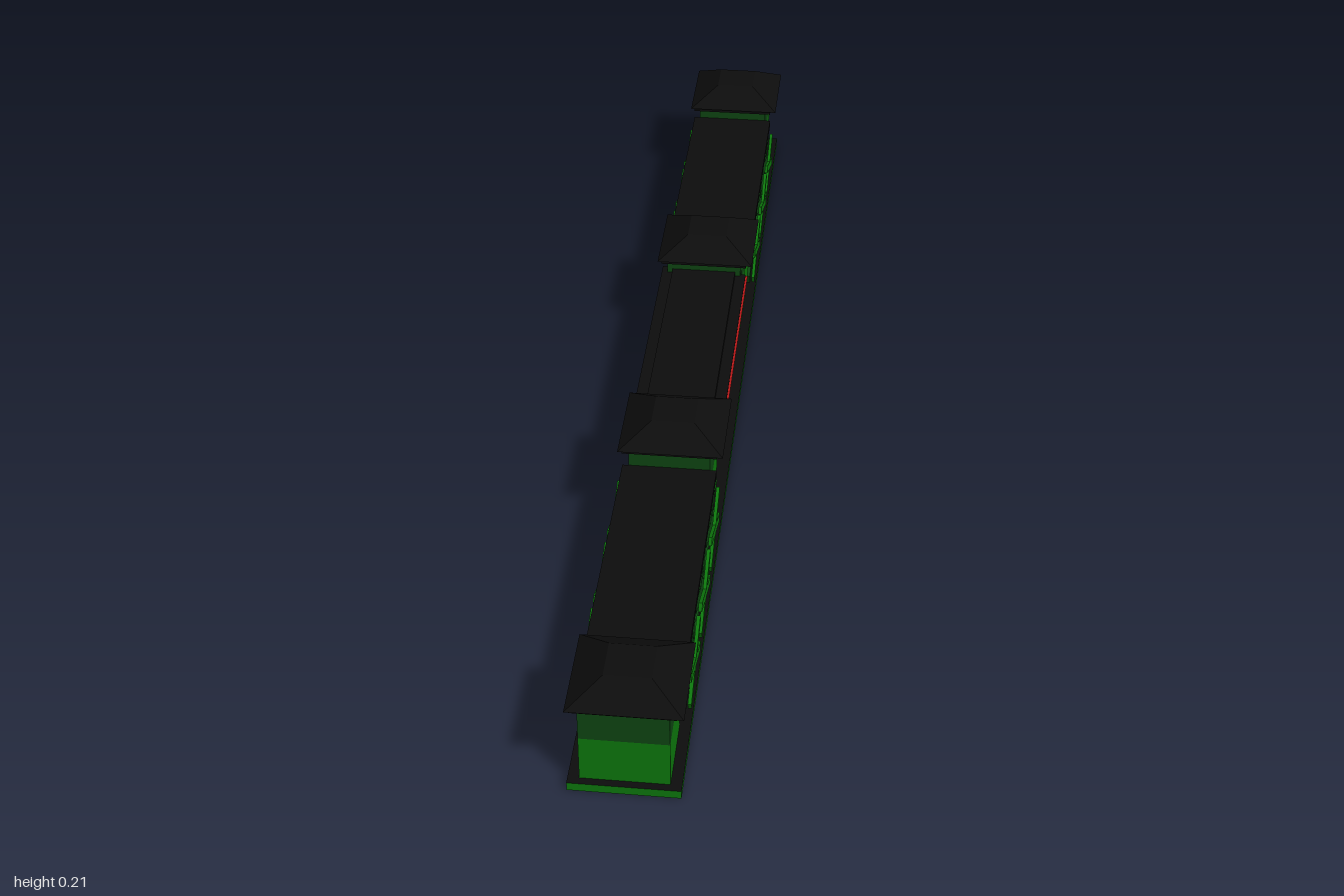
import * as THREE from 'three';

const mat = (name, color) => new THREE.MeshStandardMaterial({ name, color });

export function createModel() {
  const green = mat('green', 0x0d780d);
  const darkGreen = mat('dark green', 0x0e4512);
  const black = mat('black', 0x0d0d0d);
  const red = mat('red', 0xb81818);
  const gray = mat('gray', 0x9a9a9a);
  red.side = THREE.DoubleSide;

  const model = new THREE.Group();
  model.name = 'pavilionHall';
  const CX = -0.005; // axis of the building

  // Box given by its min and max on each axis, x measured from the axis
  function box(name, m, x0, x1, y0, y1, z0, z1, parent = model) {
    const mesh = new THREE.Mesh(new THREE.BoxGeometry(x1 - x0, y1 - y0, z1 - z0), m);
    mesh.position.set(CX + (x0 + x1) / 2, (y0 + y1) / 2, (z0 + z1) / 2);
    mesh.name = name;
    parent.add(mesh);
    return mesh;
  }

  // Base slab: green edges, black top and underside
  box('base', [green, green, black, black, green, green], -0.088, 0.088, 0, 0.015, -0.985, 1);

  // Truncated hip roof
  function hipRoof(y0, y1, z, parent) {
    const geo = new THREE.CylinderGeometry(0.037 * Math.SQRT2, 0.09 * Math.SQRT2, y1 - y0, 4, 1)
      .rotateY(Math.PI / 4).toNonIndexed();
    geo.computeVertexNormals();
    const roof = new THREE.Mesh(geo, black);
    roof.scale.z = 0.95;
    roof.position.set(CX + 0.003, (y0 + y1) / 2, z);
    roof.name = 'towerRoof';
    parent.add(roof);
  }

  // Four towers; the inner pair stands slightly taller
  const towers = [[0.925, 0], [0.308, 0.011], [-0.288, 0.011], [-0.908, 0]];
  for (const [z, lift] of towers) {
    const tower = new THREE.Group();
    tower.name = 'tower';
    model.add(tower);
    box('towerLowerWall', green, -0.07, 0.07, 0.015, 0.098, z - 0.0625, z + 0.0625, tower);
    box('towerUpperWall', darkGreen, -0.07, 0.07, 0.098, 0.157 + lift, z - 0.0625, z + 0.0625, tower);
    box('towerEave', black, -0.081, 0.081, 0.157 + lift, 0.168 + lift, z - 0.08, z + 0.07, tower);
    hipRoof(0.168 + lift, 0.201 + lift, z - 0.005, tower);
  }

  // One crossed brace made of two diagonal bars
  function cross(name, m, x, z, width, thick, parent) {
    const w = 0.14, h = 0.06;
    for (const s of [-1, 1]) {
      const bar = new THREE.Mesh(new THREE.BoxGeometry(thick, width, Math.hypot(w, h)), m);
      bar.rotation.x = s * Math.atan2(h, w);
      bar.position.set(CX + x, 0.0775, z);
      bar.name = name;
      parent.add(bar);
    }
  }

  // Two wings with braced side walls and flat roofs
  for (const [z0, z1] of [[0.3705, 0.8625], [-0.8455, -0.3505]]) {
    const wing = new THREE.Group();
    wing.name = 'wing';
    model.add(wing);
    box('wingWall', green, -0.069, 0.069, 0.015, 0.125, z0, z1, wing);
    box('wingRoof', black, -0.081, 0.081, 0.125, 0.138, z0, z1, wing);
    const bay = (z1 - z0) / 3;
    for (const side of [-1, 1]) {
      for (let i = 0; i < 3; i++) {
        const z = z0 + (i + 0.5) * bay;
        cross('braceBacking', darkGreen, side * 0.076, z, 0.023, 0.006, wing);
        cross('brace', green, side * 0.085, z, 0.015, 0.006, wing);
      }
    }
  }

  // Recessed centre wall, darker above, with slats on both faces
  box('centreLowerWall', green, -0.014, 0.014, 0.015, 0.056, -0.2255, 0.2455);
  box('centreUpperWall', darkGreen, -0.014, 0.014, 0.056, 0.125, -0.2255, 0.2455);
  for (const side of [-1, 1]) {
    for (const y of [0.035, 0.056, 0.078, 0.106]) {
      box('centreSlat', y < 0.05 ? green : black,
        side * 0.016 - 0.003, side * 0.016 + 0.003, y, y + 0.004, -0.2255, 0.2455);
    }
    box('centrePost', gray, side * 0.018 - 0.003, side * 0.018 + 0.003, 0.015, 0.125, 0.007, 0.013);
  }

  // Centre roof with a raised middle and a red eave strip on one side
  box('centreRoof', black, -0.081, 0.071, 0.123, 0.145, -0.245, 0.265);
  box('centreRoofCap', black, -0.06, 0.06, 0.145, 0.153, -0.245, 0.265);
  const strip = new THREE.Mesh(new THREE.PlaneGeometry(0.014, 0.48).rotateX(-Math.PI / 2), red);
  strip.position.set(CX + 0.077, 0.143, 0.01);
  strip.name = 'eaveStrip';
  model.add(strip);
  box('eaveStripCap', black, 0.07, 0.08, 0.1435, 0.1455, -0.23, 0.25);

  return model;
}
